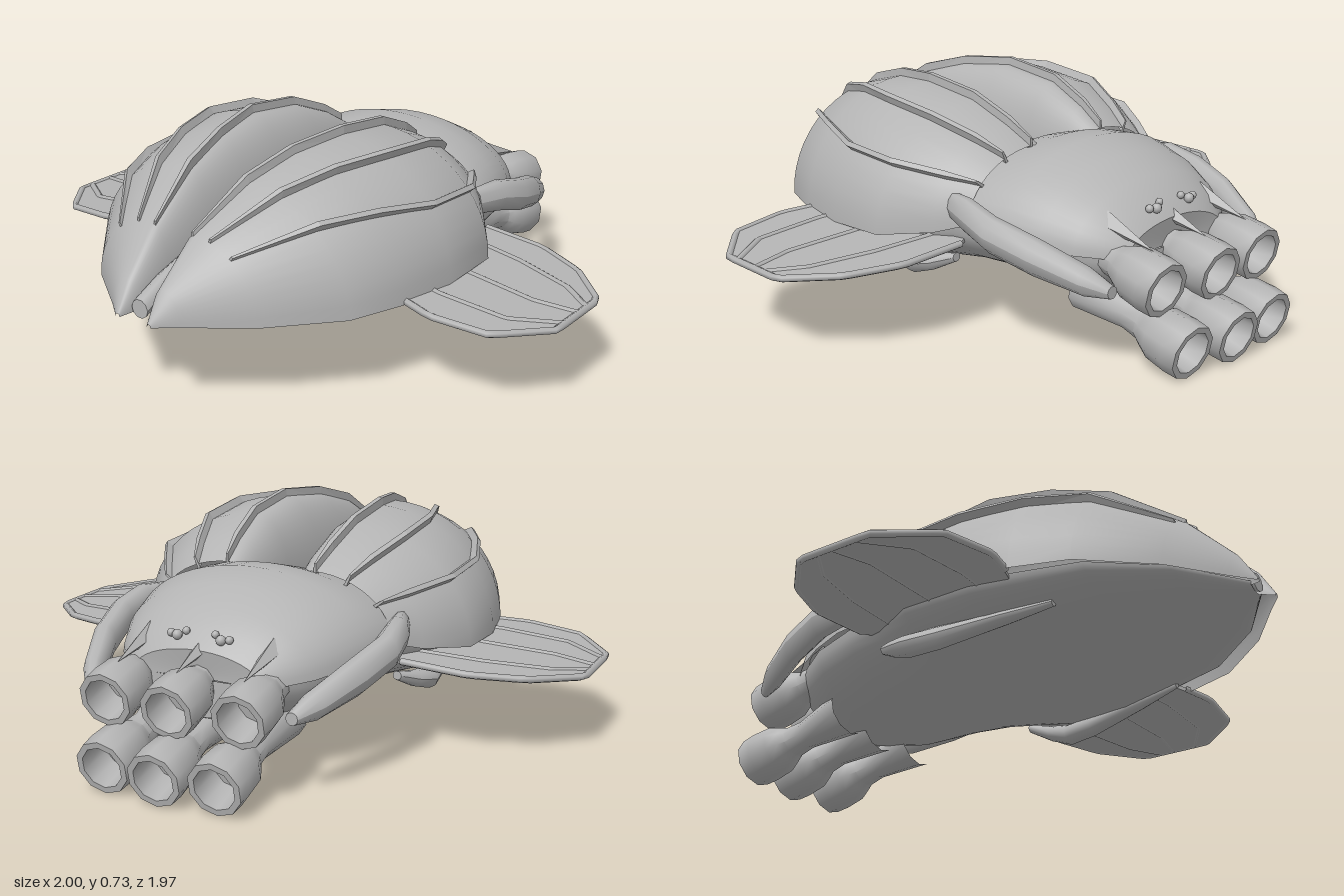
import * as THREE from 'three';
import { toCreasedNormals } from 'three/addons/utils/BufferGeometryUtils.js';

const hull = new THREE.MeshStandardMaterial({ color: 0xb4b4b4 });
hull.name = 'hullGrey';
const hullThin = hull.clone();
hullThin.name = 'hullGreyThin';
hullThin.side = THREE.DoubleSide;

function add(parent, name, geometry, material = hull) {
  const mesh = new THREE.Mesh(geometry, material);
  mesh.name = name;
  parent.add(mesh);
  return mesh;
}

// Skin over rows of [x, y, z] points
function loft(rows) {
  const n = rows[0].length, index = [];
  for (let i = 0; i < rows.length - 1; i++) {
    for (let j = 0; j < n - 1; j++) {
      const a = i * n + j, b = a + n;
      index.push(a, b, a + 1, b, b + 1, a + 1);
    }
  }
  const g = new THREE.BufferGeometry();
  g.setAttribute('position', new THREE.Float32BufferAttribute(rows.flat(2), 3));
  g.setIndex(index);
  g.computeVertexNormals();
  return g;
}

// Row that closes an end onto one point, after a repeated row for a crisp edge
const capRows = (row, p) => [row.map(q => [...q]), row.map(() => p)];

// Rounded limb; stations [x, y, z, rx, ry] run from front (+z) to back
function limb(stations, sides = 10) {
  const rows = stations.map(([x, y, z, rx, ry]) => Array.from({ length: sides + 1 }, (_, j) => {
    const a = j / sides * Math.PI * 2;
    return [x + rx * Math.cos(a), y + ry * Math.sin(a), z];
  }));
  const s = stations[0], e = stations[stations.length - 1];
  const first = capRows(rows[0], s.slice(0, 3)).reverse();
  return loft([...first, ...rows, ...capRows(rows[rows.length - 1], e.slice(0, 3))]);
}

// Wing case stations: z, outer x, crest x, crest y, inner x, inner y, rim y
const CASE = [
  [0.985, 0.07, 0.062, 0.31, 0.055, 0.30, 0.30],
  [0.93, 0.14, 0.07, 0.40, 0.03, 0.31, 0.30],
  [0.80, 0.32, 0.085, 0.53, 0.02, 0.34, 0.30],
  [0.60, 0.50, 0.125, 0.645, 0.02, 0.37, 0.30],
  [0.42, 0.565, 0.15, 0.695, 0.025, 0.40, 0.30],
  [0.22, 0.605, 0.17, 0.715, 0.035, 0.42, 0.31],
  [0.00, 0.605, 0.17, 0.69, 0.05, 0.45, 0.32],
  [-0.15, 0.50, 0.16, 0.63, 0.065, 0.45, 0.34],
  [-0.24, 0.43, 0.15, 0.575, 0.08, 0.45, 0.37],
];

function casePoint([z, xo, xp, h, xi, yi, yb], a) {
  const c = Math.cos(a), s = Math.sin(a);
  return c >= 0 ? [xp + (xo - xp) * c, yb + (h - yb) * s, z]
    : [xp + (xp - xi) * c, yi + (h - yi) * s, z];
}

function wingCase() {
  return loft(CASE.map(st => Array.from({ length: 25 }, (_, j) => casePoint(st, j / 24 * Math.PI))));
}

// Raised rib on a wing case; its angle drifts from rear to front
function caseRib(rearDeg, frontDeg) {
  const stations = CASE.slice(2), last = stations.length - 1;
  const rows = stations.map((st, i) => {
    const a = THREE.MathUtils.degToRad(THREE.MathUtils.lerp(rearDeg, frontDeg, Math.min(1, i / 3)));
    const [x, y, z] = casePoint(st, a);
    const nx = Math.cos(a), ny = Math.sin(a);
    const w = i === 0 || i === last ? 0.005 : 0.012, h = i === 0 ? 0.012 : 0.026;
    return [[w, -0.015], [w * 0.7, h], [-w * 0.7, h], [-w, -0.015]]
      .map(([u, v]) => [x + ny * u + nx * v, y - nx * u + ny * v, z]);
  });
  const g = loft([...capRows(rows[0], rows[0][0]).reverse(), ...rows, ...capRows(rows[last], rows[last][0])])
    .toNonIndexed();
  g.computeVertexNormals();
  return g;
}

// Half ellipse skin; stations z, half width, rim y, crest y
function halfShell(stations, from, to, cap) {
  const rows = stations.map(([z, w, rim, crest]) => Array.from({ length: 25 }, (_, j) => {
    const a = from + (to - from) * j / 24;
    return [w * Math.cos(a), rim + (crest - rim) * Math.abs(Math.sin(a)), z];
  }));
  return loft([...rows, ...capRows(rows[rows.length - 1], cap)]);
}

// Thin hind wing with rim and veins
function hindWing() {
  const g = new THREE.Group();
  const outline = [[0.38, -0.19], [0.46, -0.235], [0.68, -0.225], [0.85, -0.15], [0.99, -0.01],
    [0.99, 0.25], [0.86, 0.41], [0.67, 0.435], [0.55, 0.40], [0.38, 0.33]];
  const shape = new THREE.Shape(outline.map(p => new THREE.Vector2(...p)));
  const plate = new THREE.ExtrudeGeometry(shape, { depth: 0.014, bevelEnabled: false });
  plate.rotateX(Math.PI / 2);
  add(g, 'wingPlate', plate);
  const veins = [outline.slice(1, 9),
    [[0.42, -0.12], [0.68, -0.08], [0.88, -0.02], [0.99, 0.06]],
    [[0.42, 0.09], [0.62, 0.11], [0.85, 0.135], [0.99, 0.11]],
    [[0.42, 0.26], [0.62, 0.295], [0.85, 0.295], [0.99, 0.20]]];
  for (const vein of veins) {
    const path = new THREE.CurvePath();
    const pts = vein.map(([x, z]) => new THREE.Vector3(x, -0.005, z));
    for (let i = 1; i < pts.length; i++) path.add(new THREE.LineCurve3(pts[i - 1], pts[i]));
    add(g, 'wingVein', new THREE.TubeGeometry(path, 40, 0.012, 6));
  }
  g.position.y = 0.355;
  g.rotation.z = -0.075;
  return g;
}

// Hollow thruster, its mouth at the origin and facing +y
function thruster(length) {
  const profile = [[0.08, -length], [0.05, -0.25], [0.055, -0.19], [0.068, -0.165], [0.086, -0.125],
    [0.091, -0.05], [0.088, 0], [0.068, 0], [0.06, -0.11], [0, -0.11]];
  const g = new THREE.LatheGeometry(profile.map(p => new THREE.Vector2(...p)), 10);
  return toCreasedNormals(g, 0.7);
}

export function createModel() {
  const model = new THREE.Group();
  model.name = 'beetleShip';

  // Belly and thorax
  add(model, 'belly', halfShell([
    [0.95, 0.04, 0.32, 0.295], [0.80, 0.27, 0.32, 0.275], [0.60, 0.44, 0.32, 0.23],
    [0.25, 0.54, 0.32, 0.178], [0, 0.54, 0.33, 0.165], [-0.18, 0.45, 0.36, 0.167],
    [-0.32, 0.42, 0.36, 0.17], [-0.50, 0.37, 0.35, 0.155], [-0.62, 0.30, 0.34, 0.17],
    [-0.71, 0.22, 0.33, 0.21]], -Math.PI, 0, [0, 0.33, -0.71]));
  add(model, 'thorax', halfShell([
    [-0.14, 0.44, 0.36, 0.56], [-0.25, 0.44, 0.36, 0.59], [-0.37, 0.425, 0.36, 0.603],
    [-0.50, 0.385, 0.35, 0.572], [-0.60, 0.335, 0.34, 0.525], [-0.67, 0.28, 0.335, 0.475],
    [-0.715, 0.22, 0.33, 0.42]], 0, Math.PI, [0, 0.33, -0.70]), hullThin);
  add(model, 'tailSpine', limb([[0, 0.33, 0.955, 0.032, 0.03], [0, 0.38, 0.85, 0.03, 0.03],
    [0, 0.45, 0.65, 0.022, 0.025], [0, 0.50, 0.4, 0.014, 0.015], [0, 0.52, 0.2, 0.006, 0.006]]));

  // Paired parts, built on the left and mirrored
  for (const side of [1, -1]) {
    const half = new THREE.Group();
    half.name = side > 0 ? 'leftSide' : 'rightSide';
    half.scale.x = side;
    model.add(half);
    add(half, 'wingCase', wingCase(), hullThin);
    for (const [rear, front] of [[98, 88], [76, 64], [55, 36]]) add(half, 'wingCaseRib', caseRib(rear, front));
    const wing = hindWing();
    wing.name = 'hindWing';
    half.add(wing);
    add(half, 'frontArm', limb([[0.435, 0.42, -0.18, 0.03, 0.045], [0.465, 0.42, -0.28, 0.04, 0.055],
      [0.475, 0.39, -0.40, 0.045, 0.058], [0.44, 0.35, -0.55, 0.045, 0.058],
      [0.38, 0.30, -0.70, 0.04, 0.045], [0.345, 0.275, -0.77, 0.02, 0.02]]));
    add(half, 'leg', limb([[0.38, 0.25, 0.46, 0.012, 0.012], [0.41, 0.232, 0.3, 0.028, 0.022],
      [0.45, 0.21, 0.08, 0.038, 0.036], [0.465, 0.205, -0.03, 0.042, 0.036],
      [0.45, 0.22, -0.1, 0.03, 0.028], [0.42, 0.245, -0.17, 0.015, 0.015]]));
    for (const [x, y, z, r] of [[0.05, 0.467, -0.685, 0.012], [0.075, 0.455, -0.697, 0.016], [0.10, 0.457, -0.69, 0.013]]) {
      add(half, 'eye', new THREE.SphereGeometry(r, 10, 8)).position.set(x, y, z);
    }
  }

  // Two rows of three thrusters, with spikes above
  const up = new THREE.Vector3(0, 1, 0);
  const aim = new THREE.Vector3(0, -0.21, -0.97).normalize();
  const spikeAim = new THREE.Vector3(0, -0.25, -0.97).normalize();
  for (const i of [-1, 0, 1]) {
    const back = Math.abs(i) * 0.02;
    const lower = add(model, 'lowerThruster', thruster(0.44));
    lower.position.set(i * 0.19, 0.096, -0.97 + back);
    lower.quaternion.setFromUnitVectors(up, aim);
    const upper = add(model, 'upperThruster', thruster(0.32));
    upper.position.set(i * 0.225, 0.277, -0.892 + back);
    upper.quaternion.setFromUnitVectors(up, aim);
    const spike = add(model, 'spike', toCreasedNormals(new THREE.ConeGeometry(0.034, 0.2, 4), 0.5));
    spike.position.set(i * 0.215, 0.405, -0.735 + back);
    spike.quaternion.setFromUnitVectors(up, spikeAim);
  }
  return model;
}
